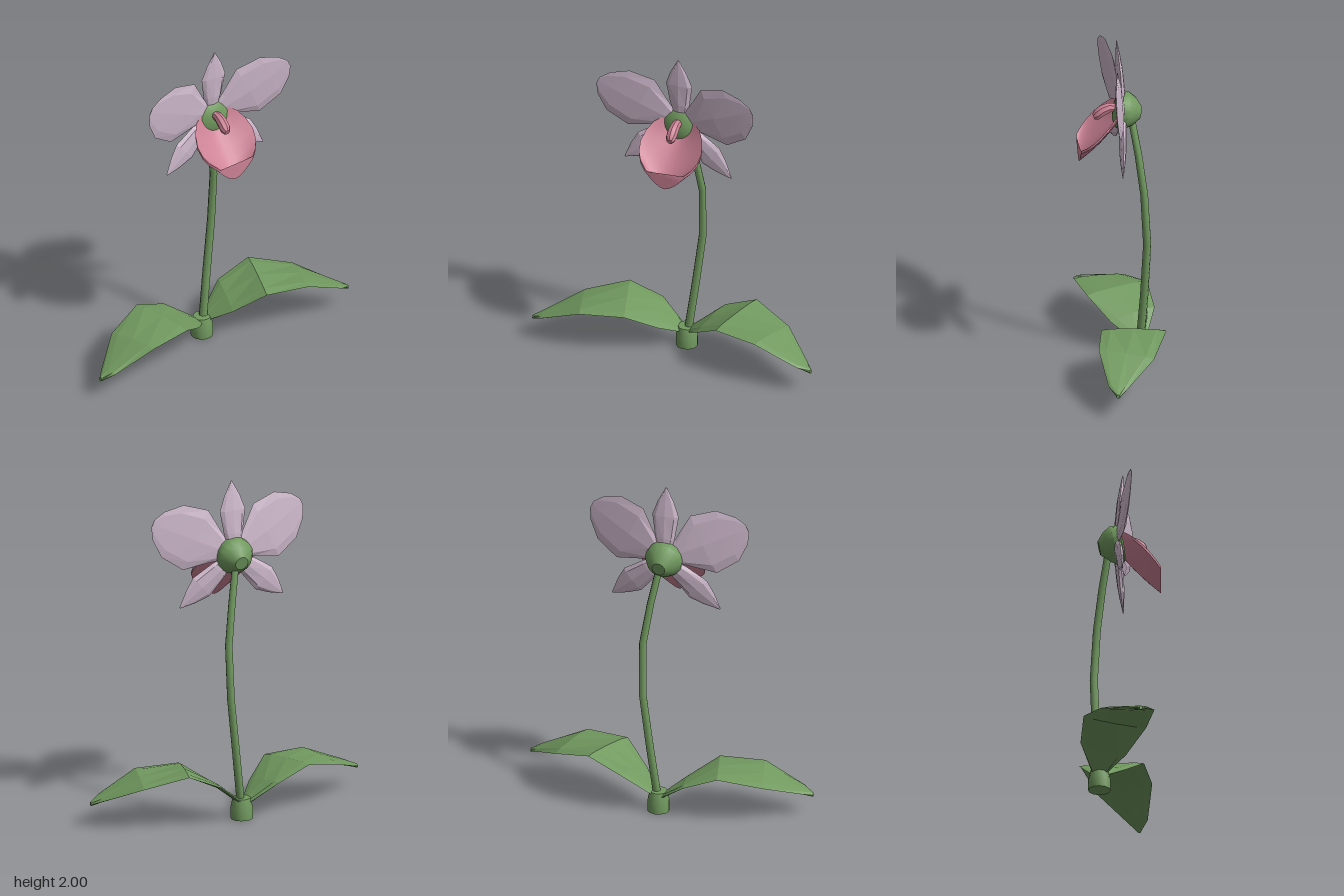
import * as THREE from 'three';
import { toCreasedNormals } from 'three/addons/utils/BufferGeometryUtils.js';

const V = (x, y, z) => new THREE.Vector3(x, y, z);
const mat = (name, color) => Object.assign(new THREE.MeshStandardMaterial({ color }), { name });

// Elliptical ring around c with half-axes u and v (u x v points along the loft).
function ring(c, u, v, n = 8) {
  return Array.from({ length: n }, (_, i) => {
    const a = (i / n) * Math.PI * 2;
    return c.clone().addScaledVector(u, Math.cos(a)).addScaledVector(v, Math.sin(a));
  });
}

// Closed skin through equal-sized rings, capped at both ends.
function loft(rings, crease = 0.05) {
  const n = rings[0].length, pos = [], idx = [];
  rings.flat().forEach((p) => pos.push(p.x, p.y, p.z));
  for (let r = 0; r < rings.length - 1; r++) {
    for (let i = 0; i < n; i++) {
      const j = (i + 1) % n, a = r * n + i, b = r * n + j;
      idx.push(a, b, a + n, b, b + n, a + n);
    }
  }
  const e = (rings.length - 1) * n;
  for (let i = 1; i < n - 1; i++) {
    idx.push(0, i + 1, i, e, e + i, e + i + 1);
  }
  const g = new THREE.BufferGeometry();
  g.setAttribute('position', new THREE.Float32BufferAttribute(pos, 3));
  g.setIndex(idx);
  return toCreasedNormals(g, crease);
}

// Petal growing along +y from [distance, half-width] stations, leaning towards +z.
function petalGeometry(stations, lean, thick) {
  const top = stations[stations.length - 1][0];
  return loft(stations.map(([t, w]) => {
    const k = Math.sin(Math.PI * Math.min(0.97, 0.2 + 0.77 * t / top));
    return ring(V(0, t, lean * t), V(-w, 0, 0), V(0, 0, thick * k));
  }));
}

// Leaf height along its reach.
const heights = [[0, 0.09], [0.1, 0.17], [0.2, 0.25], [0.34, 0.34], [0.59, 0.28], [0.87, 0.135]];
function leafHeight(x) {
  let i = 1;
  while (i < heights.length - 1 && x > heights[i][0]) i++;
  const [x0, y0] = heights[i - 1], [x1, y1] = heights[i];
  return y0 + ((y1 - y0) * (x - x0)) / (x1 - x0);
}

// Back edge x, z and front edge x, z of each leaf section.
const leafRows = [
  [0.01, -0.15, 0.01, -0.09], [0.19, -0.235, 0.12, 0.03], [0.39, -0.225, 0.28, 0.14],
  [0.63, -0.125, 0.54, 0.185], [0.81, 0.045, 0.79, 0.157], [0.862, 0.1, 0.858, 0.12],
];
function leafGeometry(side, rise, sweep) {
  return loft(leafRows.map(([bx, bz, fx, fz]) => {
    const B = V(side * bx, leafHeight(bx) * rise, bz + sweep * Math.min(1, bx * 3));
    const F = V(side * fx, leafHeight(fx) * rise, fz + sweep * Math.min(1, fx * 3));
    const c = B.clone().add(F).multiplyScalar(0.5);
    return ring(c, B.sub(F).multiplyScalar(0.5 * side), V(0, 0.013, 0));
  }));
}

export function createModel() {
  const green = mat('leafGreen', 0x71995f);
  const lilac = mat('petalLilac', 0xcdb8cb);
  const pink = mat('lipPink', 0xcd8396);
  const model = new THREE.Group();
  const add = (name, geo, m) => {
    const mesh = new THREE.Mesh(geo, m);
    mesh.name = name;
    model.add(mesh);
    return mesh;
  };

  // Base collar
  const collar = [[0, 0], [0.065, 0], [0.065, 0.065], [0.052, 0.125], [0, 0.13]];
  add('base', toCreasedNormals(
    new THREE.LatheGeometry(collar.map(([r, y]) => new THREE.Vector2(r, y)), 12), 0.7,
  ), green).position.z = -0.115;

  // Stem
  const stem = [
    [0.005, 0.08, -0.115], [0.045, 0.4, -0.135], [0.085, 0.74, -0.148],
    [0.09, 1.06, -0.13], [0.055, 1.3, -0.1], [0.01, 1.54, -0.06],
  ];
  add('stem', loft(stem.map((p, i) =>
    ring(V(...p), V(0.025 - i * 0.0008, 0, 0), V(0, 0, -0.025 + i * 0.0008))), 0.9), green);

  // Leaves
  add('leftLeaf', leafGeometry(1, 1, 0), green);
  add('rightLeaf', leafGeometry(-1, 0.89, 0.022), green);

  // Flower hub
  const hub = [[0, -0.115], [0.04, -0.115], [0.085, -0.075], [0.111, -0.03], [0.108, 0.012], [0.07, 0.036], [0, 0.045]];
  const hubGeo = new THREE.LatheGeometry(hub.map(([r, y]) => new THREE.Vector2(r, y)), 16);
  hubGeo.rotateX(Math.PI / 2 - 0.22);
  add('hub', toCreasedNormals(hubGeo, 0.6), green).position.set(0, 1.565, -0.005);

  // Narrow sepals and broad petals around the hub
  const narrow = [[0.04, 0.035], [0.13, 0.06], [0.265, 0.081], [0.35, 0.05], [0.437, 0.004]];
  const broad = [[0.05, 0.05], [0.11, 0.088], [0.25, 0.188], [0.4, 0.165], [0.49, 0.09], [0.528, 0.025]];
  const sepal = petalGeometry(narrow, 0.08, 0.024);
  const petal = petalGeometry(broad, 0.17, 0.02);
  const place = (name, geo, deg) => {
    const p = add(name, geo, lilac);
    p.position.set(0, 1.565, -0.015);
    p.rotation.z = THREE.MathUtils.degToRad(deg);
  };
  place('topSepal', sepal, 0);
  for (const [label, s] of [['left', -1], ['right', 1]]) {
    place(label + 'Petal', petal, s * 64.5);
    place(label + 'Sepal', sepal, s * 131);
  }

  // Cupped lip: rows of [z, half-width], edges lifted above the centre line
  const lipRows = [[0, 0.07], [0.04, 0.14], [0.08, 0.172], [0.13, 0.19], [0.175, 0.182], [0.21, 0.158], [0.24, 0.12]];
  const steps = 10;
  add('lip', loft(lipRows.map(([z, w]) => {
    const row = Array.from({ length: steps + 1 }, (_, i) => {
      const u = (i / steps) * 2 - 1;
      return V(u * w, 1.5 - 1.02 * z + 0.095 * Math.abs(u) ** 1.6, z);
    });
    const upper = row.map((p) => p.clone().add(V(0, 0.018, 0))).reverse();
    return [...row, ...upper];
  }), 0.7), pink);

  // Column
  const column = [
    [1.58, 0.02, 0.026], [1.582, 0.06, 0.028], [1.565, 0.1, 0.032],
    [1.54, 0.135, 0.031], [1.527, 0.153, 0.018],
  ];
  add('column', loft(column.map(([y, z, r]) =>
    ring(V(0, y, z), V(r, 0, 0), V(0, r, r * 0.4))), 0.6), pink);

  return model;
}
